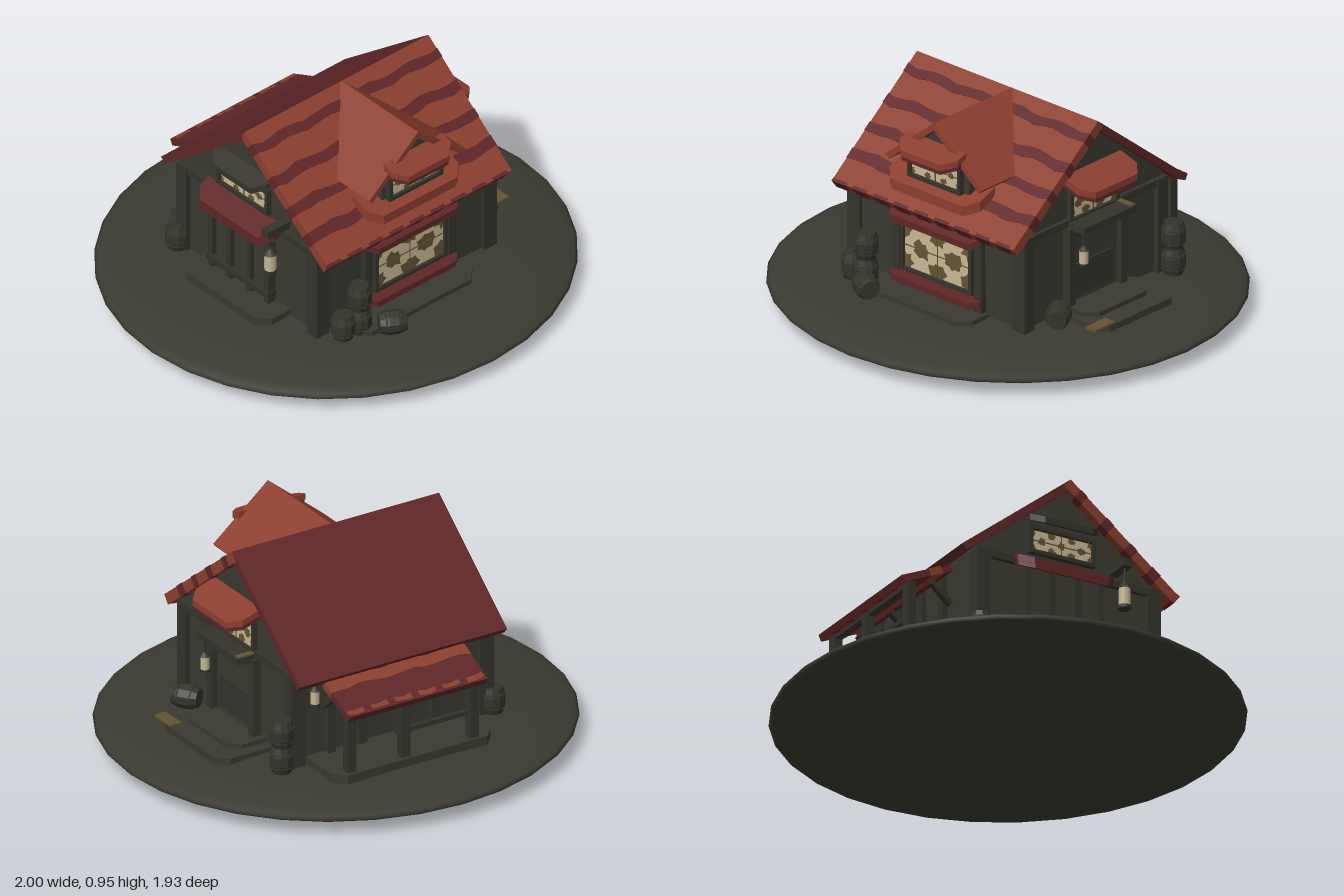
import * as THREE from 'three';

const mat = (name, color) => Object.assign(new THREE.MeshStandardMaterial({ color }), { name });

export function createModel() {
  const root = new THREE.Group();
  root.name = 'cottage';
  const stone = mat('dark olive stone', 0x3a3a31);
  const wood = mat('dark timber', 0x34342c);
  const tile = mat('orange tile', 0x8c3f2f);
  const red = mat('dark red tile', 0x5f2627);
  const cream = mat('cream glass', 0xc8b995);
  const brown = mat('brown stain', 0x655433);

  let seed = 7;
  const rnd = () => (seed = (seed * 16807) % 2147483647) / 2147483647;

  const add = (name, geo, m, parent = root) => {
    const mesh = new THREE.Mesh(geo, m);
    mesh.name = name;
    parent.add(mesh);
    return mesh;
  };
  const group = (name, x, y, z, ry = 0, parent = root) => {
    const g = new THREE.Group();
    g.name = name;
    g.position.set(x, y, z);
    g.rotation.y = ry;
    parent.add(g);
    return g;
  };
  // Box given by its limits
  const box = (name, x0, x1, y0, y1, z0, z1, m, parent = root) => add(name,
    new THREE.BoxGeometry(x1 - x0, y1 - y0, z1 - z0)
      .translate((x0 + x1) / 2, (y0 + y1) / 2, (z0 + z1) / 2), m, parent);
  const polygon = pts => new THREE.Shape(pts.map(p => new THREE.Vector2(p[0], p[1])));
  const extrude = (pts, depth) =>
    new THREE.ExtrudeGeometry(polygon(pts), { depth, bevelEnabled: false });

  // Ground: flattened sphere
  add('ground', new THREE.SphereGeometry(1, 32, 20).scale(1, 0.075, 0.965).translate(0, 0.075, -0.003), stone);

  // Stone ledges with cut corners
  const ledge = (name, x0, x1, z0, z1, top) => {
    const c = 0.05;
    const pts = [[x0 + c, -z1], [x1 - c, -z1], [x1, -z1 + c], [x1, -z0 - c],
      [x1 - c, -z0], [x0 + c, -z0], [x0, -z0 - c], [x0, -z1 + c]];
    add(name, extrude(pts, top - 0.09).rotateX(-Math.PI / 2).translate(0, 0.09, 0), stone);
  };
  ledge('frontLedge', -0.36, 0.28, 0.2, 0.565, 0.155);
  ledge('backLedge', -0.36, 0.41, -0.655, -0.2, 0.165);
  ledge('leftLedge', -0.615, -0.2, -0.275, 0.24, 0.165);
  ledge('rightLedge', 0.2, 0.72, -0.25, 0.21, 0.155);
  ledge('rightStep', 0.2, 0.63, -0.2, 0.18, 0.175);

  // House body: gable section swept along x
  add('walls', extrude([[-0.41, 0.1], [0.41, 0.1], [0.42, 0.58], [0, 0.915], [-0.42, 0.58]], 0.93)
    .rotateY(-Math.PI / 2).translate(0.465, 0, 0), stone);
  for (const sx of [-1, 1]) {
    for (const sz of [-1, 1]) {
      box('cornerPost', sx * 0.455 - 0.035, sx * 0.455 + 0.035, 0.1, 0.55, sz * 0.4 - 0.03, sz * 0.4 + 0.03, wood);
    }
    box('sidePlate', sx * 0.47 - 0.015, sx * 0.47 + 0.015, 0.52, 0.55, -0.42, 0.42, wood);
  }
  for (const x of [-0.215, 0.24]) box('frontPost', x - 0.02, x + 0.02, 0.13, 0.55, 0.4, 0.44, wood);

  // Ragged strip lying in the xy plane
  const ribbon = (name, x0, x1, y, h, depth, m, parent, z) => {
    const n = Math.round((x1 - x0) / 0.045), lower = [], upper = [];
    for (let i = 0; i <= n; i++) {
      const x = x0 + (x1 - x0) * i / n, drift = 0.006 * Math.sin(i * 1.3 + y * 40);
      lower.push([x, y - h / 2 + drift - rnd() * 0.008]);
      upper.unshift([x, y + h / 2 + drift + rnd() * 0.008]);
    }
    add(name, extrude([...lower, ...upper], depth), m, parent).position.z = z;
  };

  // Main roof: each half uses a frame with y up the slope and z outwards
  const angle = Math.atan2(0.405, 0.51), slope = 0.651;
  const front = group('frontRoof', 0, 0.945, 0);
  front.rotation.x = angle - Math.PI / 2;
  box('frontTiles', -0.5, 0.5, -slope, 0, -0.045, 0, tile, front);
  for (const [y, h] of [[-0.085, 0.034], [-0.235, 0.04], [-0.375, 0.036], [-0.51, 0.042]]) {
    ribbon('darkTileRow', -0.502, 0.502, y, h, 0.049, red, front, -0.047);
  }
  for (let i = 0; i < 9; i++) {
    const x = -0.5 + i * 0.1125;
    box('eaveTile', x, x + 0.075, -slope - 0.003, -slope + 0.012, -0.047, 0.002, red, front);
  }
  const back = group('backRoof', 0, 0.945, 0, Math.PI);
  back.rotation.order = 'YXZ';
  back.rotation.x = angle - Math.PI / 2;
  box('backTiles', -0.5, 0.5, -slope, 0, -0.032, 0, red, back);

  // Sloping hood with cut corners; local z points away from the wall
  const hood = (name, parent, w, d, y, drop, m, trim) => {
    const c = Math.min(0.05, d * 0.6);
    const layer = (label, grow, t, y0, material) => {
      const a = w / 2 + grow, b = d + grow;
      const geo = extrude([[-a, 0], [-a, -b + c], [-a + c, -b], [a - c, -b], [a, -b + c], [a, 0]].reverse(), t)
        .rotateX(-Math.PI / 2).translate(0, y0, 0);
      const p = geo.attributes.position;
      for (let i = 0; i < p.count; i++) p.setY(i, p.getY(i) - drop * p.getZ(i) / d);
      geo.computeVertexNormals();
      add(label, geo, material, parent);
    };
    layer(name, 0, 0.028, y, m);
    if (trim) layer(name + 'Trim', -0.004, 0.02, y - 0.02, trim);
  };

  // Window: cream plate, timber frame, ragged stains clipped to the pane
  const windowPane = (parent, w, h, y, cols, size) => {
    const g = group('window', 0, y, 0, 0, parent);
    const f = 0.016;
    box('glass', -w / 2, w / 2, -h / 2, h / 2, 0, 0.008, cream, g);
    for (const s of [-1, 1]) {
      box('frameSide', s * (w / 2 + f / 2) - f / 2, s * (w / 2 + f / 2) + f / 2, -h / 2 - f, h / 2 + f, -0.02, 0.022, wood, g);
      box('frameRail', -w / 2, w / 2, s * (h / 2 + f / 2) - f / 2, s * (h / 2 + f / 2) + f / 2, -0.02, 0.022, wood, g);
    }
    const clamp = THREE.MathUtils.clamp;
    for (let i = 0; i <= cols; i++) {
      for (const v of i % 2 ? [0] : [-1, 1]) {
        const cx = (i / cols - 0.5) * w, cy = v * h * 0.38, pts = [];
        for (let k = 0; k < 14; k++) {
          const a = k / 14 * Math.PI * 2, r = size * (k % 2 ? 0.75 : 1) * (0.8 + 0.4 * rnd());
          pts.push([clamp(cx + r * Math.cos(a) * 1.15, -w / 2, w / 2), clamp(cy + r * Math.sin(a), -h / 2, h / 2)]);
        }
        add('stain', new THREE.ShapeGeometry(polygon(pts)), brown, g).position.z = 0.0095;
      }
    }
    box('mullion', -0.002, 0.002, -h / 2, h / 2, 0.008, 0.011, brown, g);
    box('crossBar', -w / 2, w / 2, -0.002, 0.002, 0.008, 0.011, brown, g);
  };

  // Front shop window
  const shop = group('frontBay', 0.013, 0, 0.425);
  box('bayFrame', -0.2, 0.2, 0.15, 0.47, -0.05, 0, wood, shop);
  windowPane(shop, 0.36, 0.195, 0.335, 4, 0.045);
  hood('frontAwning', shop, 0.5, 0.06, 0.475, 0.03, red);
  hood('frontSill', shop, 0.49, 0.055, 0.185, 0.008, red);

  // Dormer
  const dormer = group('dormer', 0.025, 0, 0);
  add('dormerWalls', extrude([[-0.17, 0.58], [0.17, 0.58], [0.17, 0.76], [0, 0.91], [-0.17, 0.76]], 0.33)
    .translate(0, 0, 0.11), stone, dormer);
  add('dormerRoof', extrude([[-0.265, 0.728], [-0.248, 0.71], [0, 0.915], [0.248, 0.71], [0.265, 0.728], [0, 0.947]], 0.47),
    tile, dormer);
  const dormerFront = group('dormerFront', -0.005, 0, 0.445, 0, dormer);
  windowPane(dormerFront, 0.26, 0.1, 0.73, 6, 0.017);
  hood('dormerAwning', dormerFront, 0.32, 0.1, 0.825, 0.035, tile, red);
  hood('dormerApron', group('apron', -0.012, 0, 0.36, 0, dormer), 0.5, 0.14, 0.67, 0.055, tile, tile);

  // Right side: upper window, shelf and door
  const right = group('rightSide', 0.468, 0, 0.005, Math.PI / 2);
  windowPane(right, 0.26, 0.11, 0.605, 6, 0.022);
  hood('rightAwning', right, 0.35, 0.14, 0.72, 0.045, tile, red);
  box('shelf', -0.155, 0.155, 0.51, 0.54, 0, 0.105, wood, right);
  box('shelfEdge', 0.13, 0.156, 0.538, 0.545, 0.02, 0.1, brown, right);
  box('door', -0.14, 0.14, 0.17, 0.5, -0.01, 0.012, stone, right);
  for (const s of [-1, 1]) box('doorPost', s * 0.155 - 0.018, s * 0.155 + 0.018, 0.14, 0.52, 0, 0.04, wood, right);
  box('doorPanel', -0.115, 0.115, 0.2, 0.34, 0.01, 0.02, wood, right);
  box('doorLintel', -0.155, 0.155, 0.47, 0.5, 0, 0.03, wood, right);
  box('doorMat', 0.66, 0.715, 0.15, 0.16, 0.13, 0.25, brown);

  // Left side: upper window, awning and panelled bay
  const left = group('leftSide', -0.468, 0, -0.03, -Math.PI / 2);
  windowPane(left, 0.28, 0.09, 0.645, 6, 0.018);
  hood('leftHood', left, 0.32, 0.075, 0.735, 0.035, wood);
  hood('leftAwning', left, 0.45, 0.095, 0.54, 0.045, red, red);
  box('bayPanel', -0.17, 0.17, 0.14, 0.52, 0, 0.02, stone, left);
  for (const x of [-0.17, -0.06, 0.06, 0.17]) box('bayPost', x - 0.014, x + 0.014, 0.14, 0.53, 0, 0.04, wood, left);
  box('baySill', -0.19, 0.19, 0.2, 0.225, 0, 0.05, wood, left);

  // Back porch
  const porch = group('porch', 0.035, 0.54, -0.45, Math.PI);
  porch.rotation.order = 'YXZ';
  porch.rotation.x = Math.atan2(0.1, 0.225) - Math.PI / 2;
  box('porchTiles', -0.335, 0.335, -0.25, 0, -0.03, 0, red, porch);
  ribbon('orangeTileRow', -0.336, 0.336, -0.075, 0.05, 0.033, tile, porch, -0.031);
  for (let i = 0; i < 6; i++) {
    const x = -0.33 + i * 0.115;
    ribbon('orangeTile', x, x + 0.08, -0.225, 0.018, 0.033, tile, porch, -0.031);
  }
  for (const x of [-0.26, 0.07, 0.33]) {
    box('porchPost', x - 0.02, x + 0.02, 0.13, 0.45, -0.64, -0.6, wood);
    const brace = box('porchBrace', -0.012, 0.012, -0.06, 0.06, -0.012, 0.012, wood);
    brace.position.set(x, 0.42, -0.47);
    brace.rotation.x = -0.85;
  }
  box('porchBeam', -0.28, 0.35, 0.41, 0.44, -0.635, -0.605, wood);
  box('porchRail', -0.26, 0.07, 0.27, 0.29, -0.63, -0.61, wood);
  for (const x of [-0.2, -0.03, 0.15, 0.3]) box('backWallPost', x - 0.02, x + 0.02, 0.13, 0.53, -0.44, -0.4, wood);

  // Lanterns
  const lantern = (x, y, z, s, hang) => {
    const g = group('lantern', x, y, z);
    add('lanternGlass', new THREE.CylinderGeometry(0.022 * s, 0.022 * s, 0.07 * s, 8), cream, g);
    add('lanternCap', new THREE.CylinderGeometry(0.01 * s, 0.027 * s, 0.022 * s, 8).translate(0, 0.044 * s, 0), wood, g);
    add('lanternFoot', new THREE.CylinderGeometry(0.026 * s, 0.026 * s, 0.012 * s, 8).translate(0, -0.04 * s, 0), wood, g);
    add('lanternHook', new THREE.CylinderGeometry(0.004, 0.004, hang, 6).translate(0, 0.05 * s + hang / 2, 0), wood, g);
  };
  lantern(-0.557, 0.445, 0.22, 1.15, 0.08);
  lantern(0.545, 0.4, 0.135, 0.85, 0.08);
  lantern(0.39, 0.445, -0.45, 0.85, 0.06);
  box('lanternBracket', -0.585, -0.46, 0.575, 0.61, 0.2, 0.24, wood);

  // Barrels: bulging staves with hoops
  const barrel = (x, y, z, tilt = 0, turn = 0) => {
    const g = group('barrel', x, y, z, turn);
    g.rotation.order = 'YXZ';
    g.rotation.x = tilt;
    const profile = [[0, -0.057], [0.04, -0.057], [0.052, -0.02], [0.052, 0.02], [0.04, 0.057], [0, 0.057]];
    const staves = new THREE.LatheGeometry(profile.map(p => new THREE.Vector2(...p)), 10).toNonIndexed();
    staves.computeVertexNormals();
    add('staves', staves, wood, g);
    for (const h of [-0.03, 0.03]) {
      add('hoop', new THREE.TorusGeometry(0.049, 0.004, 4, 10).rotateX(Math.PI / 2).translate(0, h, 0), stone, g);
    }
  };
  for (const [x, z] of [[-0.32, 0.5], [0.53, -0.42]]) {
    barrel(x, 0.19, z);
    barrel(x, 0.305, z);
  }
  barrel(-0.4, 0.19, 0.49);
  barrel(-0.49, 0.19, -0.42);
  barrel(-0.23, 0.185, 0.6, Math.PI / 2, 1.05);
  barrel(0.54, 0.185, 0.28, Math.PI / 2, 0.6);

  return root;
}
